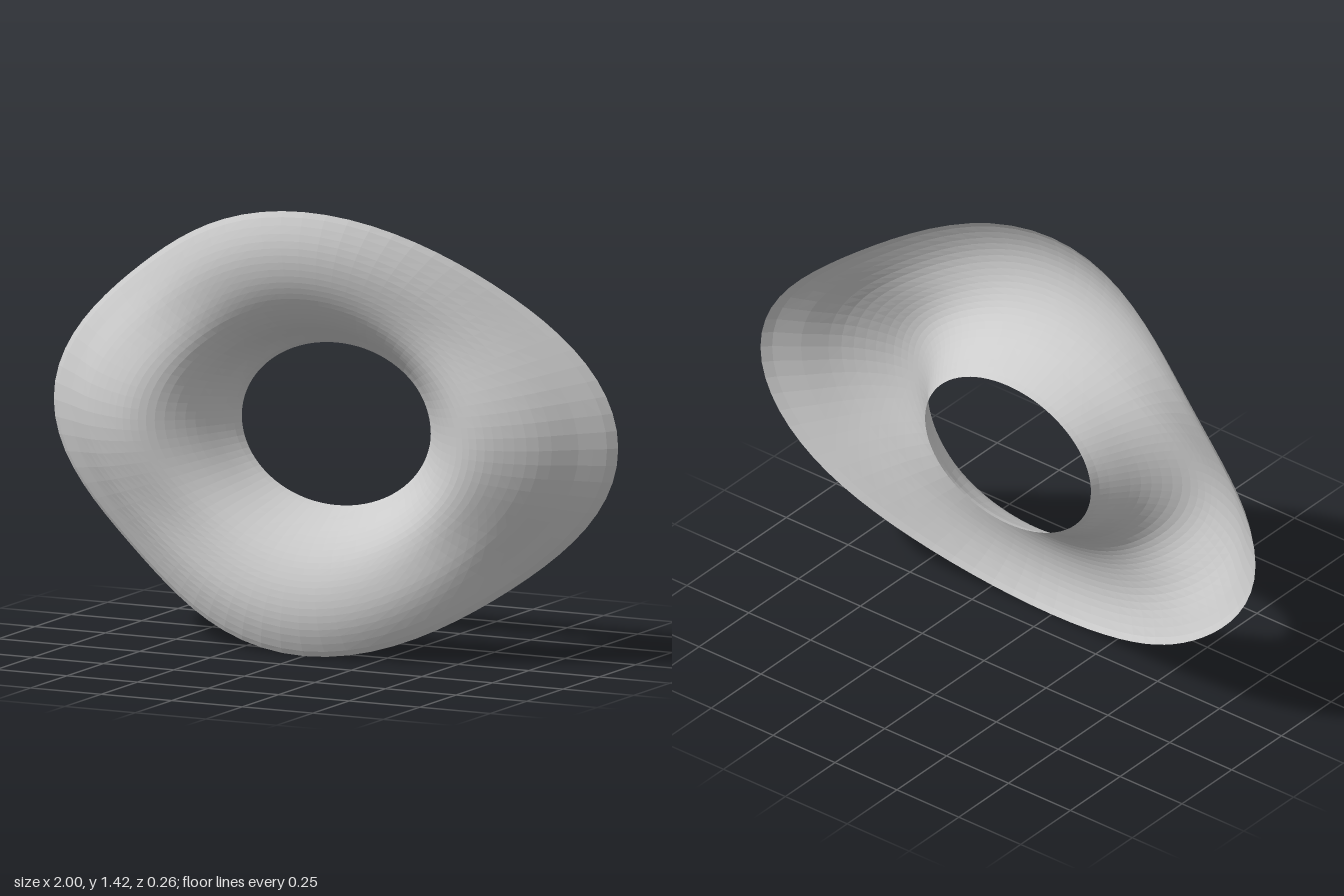
import * as THREE from 'three';

// Cross-section from the hole (first) to the outer rim (last):
// [fraction outwards, depth at the sides, depth on the diagonals, depth at top and bottom]
const PROFILE = [
  [0, -0.125, -0.125, -0.125],
  [0.08, -0.045, -0.07, -0.06],
  [0.18, 0.03, 0.0, 0.01],
  [0.3, 0.085, 0.05, 0.065],
  [0.42, 0.1, 0.068, 0.1],
  [0.55, 0.08, 0.065, 0.122],
  [0.7, 0.03, 0.045, 0.13],
  [0.85, -0.05, 0.0, 0.12],
  [1, -0.13, -0.065, 0.09],
];
const CENTRE_Y = 0.71;

function createSheet() {
  const spread = new THREE.SplineCurve(PROFILE.map(([t]) => new THREE.Vector2(t, 0)));
  const depth = new THREE.CatmullRomCurve3(
    PROFILE.map(([, side, diagonal, top]) => new THREE.Vector3(side, diagonal, top)), false, 'catmullrom', 0.5);

  // A flat ring from radius 1 to 2, reshaped vertex by vertex
  const geometry = new THREE.RingGeometry(1, 2, 80, 24);
  const pos = geometry.attributes.position;
  for (let i = 0; i < pos.count; i++) {
    const angle = Math.atan2(pos.getY(i), pos.getX(i));
    const u = THREE.MathUtils.clamp(Math.hypot(pos.getX(i), pos.getY(i)) - 1, 0, 1);
    const t = spread.getPoint(u).x;
    const c = Math.cos(angle), s = Math.sin(angle);

    // Elliptical hole, and an outer oval drawn in on the diagonals
    const pinch = 1 - 0.07 * Math.sin(2 * angle) ** 2;
    const x = THREE.MathUtils.lerp(0.335 * c + 0.004, pinch * c, t);
    const y = THREE.MathUtils.lerp(0.26 * s, 0.71 * pinch * s, t);

    // Blend the three cross-sections smoothly around the ring
    const d = depth.getPoint(u);
    const mean = (d.x + d.z) / 2;
    const z = (mean + d.y) / 2 + (d.x - d.z) / 2 * Math.cos(2 * angle)
      + (mean - d.y) / 2 * Math.cos(4 * angle);
    pos.setXYZ(i, x, y + CENTRE_Y, z);
  }
  geometry.computeVertexNormals();
  return geometry;
}

export function createModel() {
  const group = new THREE.Group();
  group.name = 'saddleRing';
  const material = new THREE.MeshStandardMaterial({
    color: 0xcccccc, flatShading: true, side: THREE.DoubleSide });
  const sheet = new THREE.Mesh(createSheet(), material);
  sheet.name = 'curvedSheet';
  group.add(sheet);
  return group;
}
